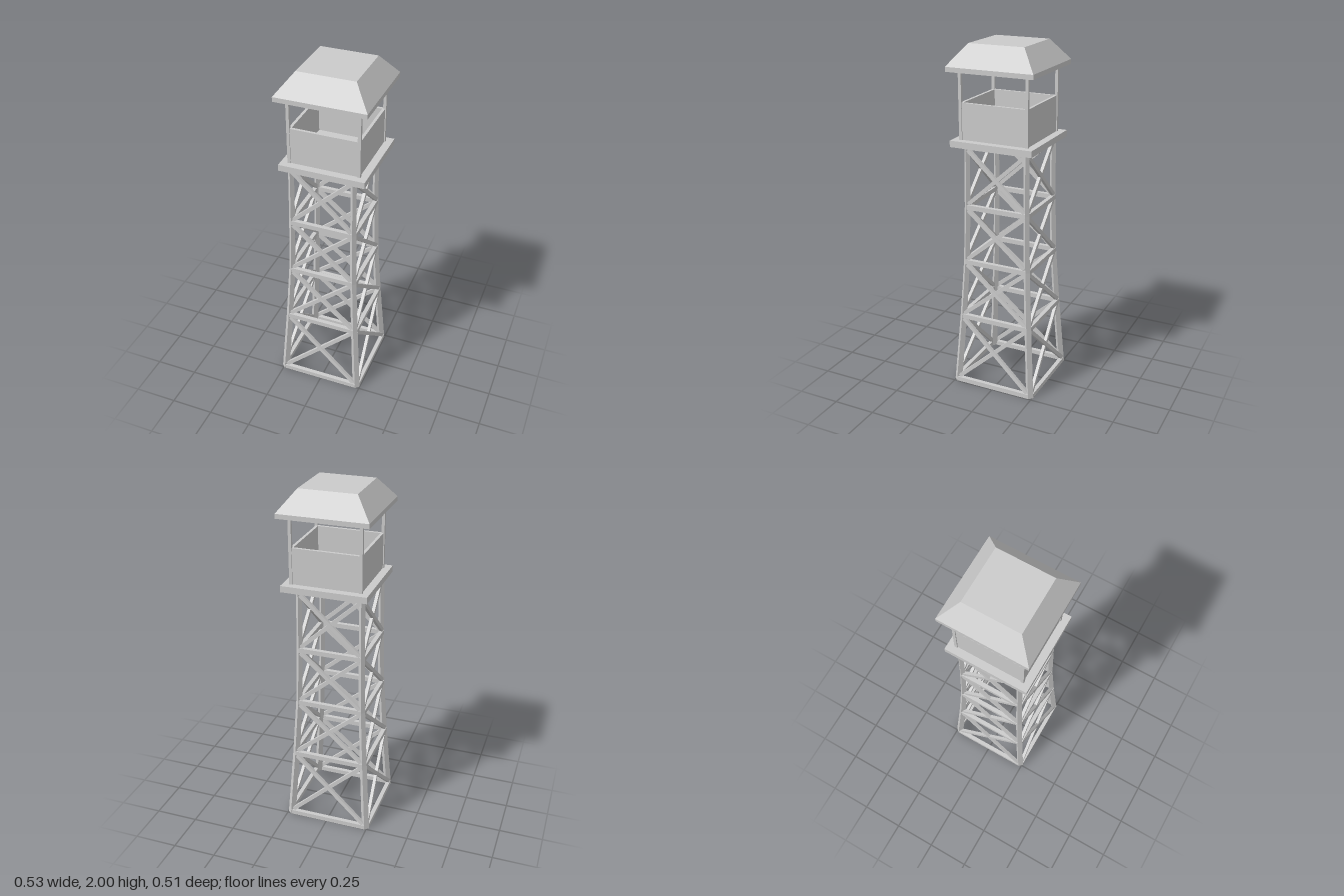
import * as THREE from 'three';

const mat = new THREE.MeshStandardMaterial({ color: 0xcccccc, flatShading: true });

// Lattice levels: height, half-width of the frame, half-diagonal of the leg
const LEVELS = [
  [0, 0.257, 0.023], [0.425, 0.227, 0.021], [0.765, 0.207, 0.019],
  [1.095, 0.199, 0.018], [1.455, 0.195, 0.017],
];

function frameAt(y) {
  let i = 0;
  while (i < LEVELS.length - 2 && y > LEVELS[i + 1][0]) i++;
  const [a, b] = [LEVELS[i], LEVELS[i + 1]];
  const t = (y - a[0]) / (b[0] - a[0]);
  return { half: a[1] + (b[1] - a[1]) * t, r: a[2] + (b[2] - a[2]) * t };
}

function add(parent, name, geometry, x = 0, y = 0, z = 0) {
  const mesh = new THREE.Mesh(geometry, mat);
  mesh.name = name;
  mesh.position.set(x, y, z);
  parent.add(mesh);
  return mesh;
}

// Rectangular bar from a to b, its depth facing +z
function bar(parent, name, a, b, width, depth) {
  const dir = b.clone().sub(a);
  const length = dir.length();
  dir.normalize();
  const side = new THREE.Vector3().crossVectors(new THREE.Vector3(0, 0, 1), dir).normalize();
  const out = new THREE.Vector3().crossVectors(dir, side);
  const g = new THREE.BoxGeometry(length, width, depth);
  g.applyMatrix4(new THREE.Matrix4().makeBasis(dir, side, out));
  const m = a.clone().add(b).multiplyScalar(0.5);
  add(parent, name, g, m.x, m.y, m.z);
}

// Bent, tapering leg: a diamond section following the lattice levels
function legGeometry(sx, sz) {
  const g = new THREE.CylinderGeometry(1, 1, 1, 4, LEVELS.length - 1);
  const p = g.attributes.position;
  for (let i = 0; i < p.count; i++) {
    const [y, half, r] = LEVELS[Math.round((p.getY(i) + 0.5) * (LEVELS.length - 1))];
    p.setXYZ(i, p.getX(i) * r + sx * (half - r), y, p.getZ(i) * r + sz * (half - r));
  }
  g.computeVertexNormals();
  return g;
}

// Horizontal rails and crossed braces of one side
function latticeFace() {
  const face = new THREE.Group();
  face.name = 'latticeSide';
  const point = (s, y, inset, back) => {
    const { half, r } = frameAt(y);
    return new THREE.Vector3(s * (half - r * inset), y, half - back);
  };
  const rails = [0.013, 0.425, 0.765, 1.095, 1.442];
  rails.forEach((y, i) => {
    bar(face, 'rail', point(-1, y, 1, 0.013), point(1, y, 1, 0.013), 0.027, 0.024);
    if (i === rails.length - 1) return;
    const lo = y + 0.017, hi = rails[i + 1] - 0.017;
    for (const s of [-1, 1]) {
      const back = 0.014 + s * 0.002;
      bar(face, 'crossBrace', point(-s, lo, 1.5, back), point(s, hi, 1.5, back), 0.022, 0.018);
    }
  });
  return face;
}

export function createModel() {
  const model = new THREE.Group();
  model.name = 'watchtower';

  // Supporting frame
  const frame = new THREE.Group();
  frame.name = 'supportFrame';
  frame.position.x = -0.007;
  model.add(frame);
  for (const sx of [-1, 1]) for (const sz of [-1, 1]) add(frame, 'leg', legGeometry(sx, sz));
  for (let k = 0; k < 4; k++) {
    const face = latticeFace();
    face.rotation.y = k * Math.PI / 2;
    frame.add(face);
  }

  // Lookout cabin
  const cabin = new THREE.Group();
  cabin.name = 'cabin';
  cabin.position.set(0.011, 0, -0.001);
  model.add(cabin);
  add(cabin, 'platform', new THREE.BoxGeometry(0.482, 0.036, 0.482), 0, 1.469, 0);
  for (const sx of [-1, 1]) for (const sz of [-1, 1]) {
    add(cabin, 'post', new THREE.BoxGeometry(0.017, 0.38, 0.017), sx * 0.195, 1.675, sz * 0.195);
  }
  for (let k = 0; k < 4; k++) {
    const wall = new THREE.Group();
    wall.name = 'wallSide';
    wall.rotation.y = k * Math.PI / 2;
    add(wall, 'wall', new THREE.BoxGeometry(0.38, 0.206, 0.016), 0, 1.587, 0.19);
    cabin.add(wall);
  }

  // Roof: flat eaves slab with a cut-off pyramid on top
  const q = Math.SQRT2;
  add(cabin, 'eaves', new THREE.BoxGeometry(0.504, 0.026, 0.504), 0, 1.871, 0);
  const hip = new THREE.CylinderGeometry(0.161 * q, 0.252 * q, 0.116, 4);
  hip.rotateY(Math.PI / 4);
  add(cabin, 'roof', hip, 0, 1.942, 0);

  return model;
}
